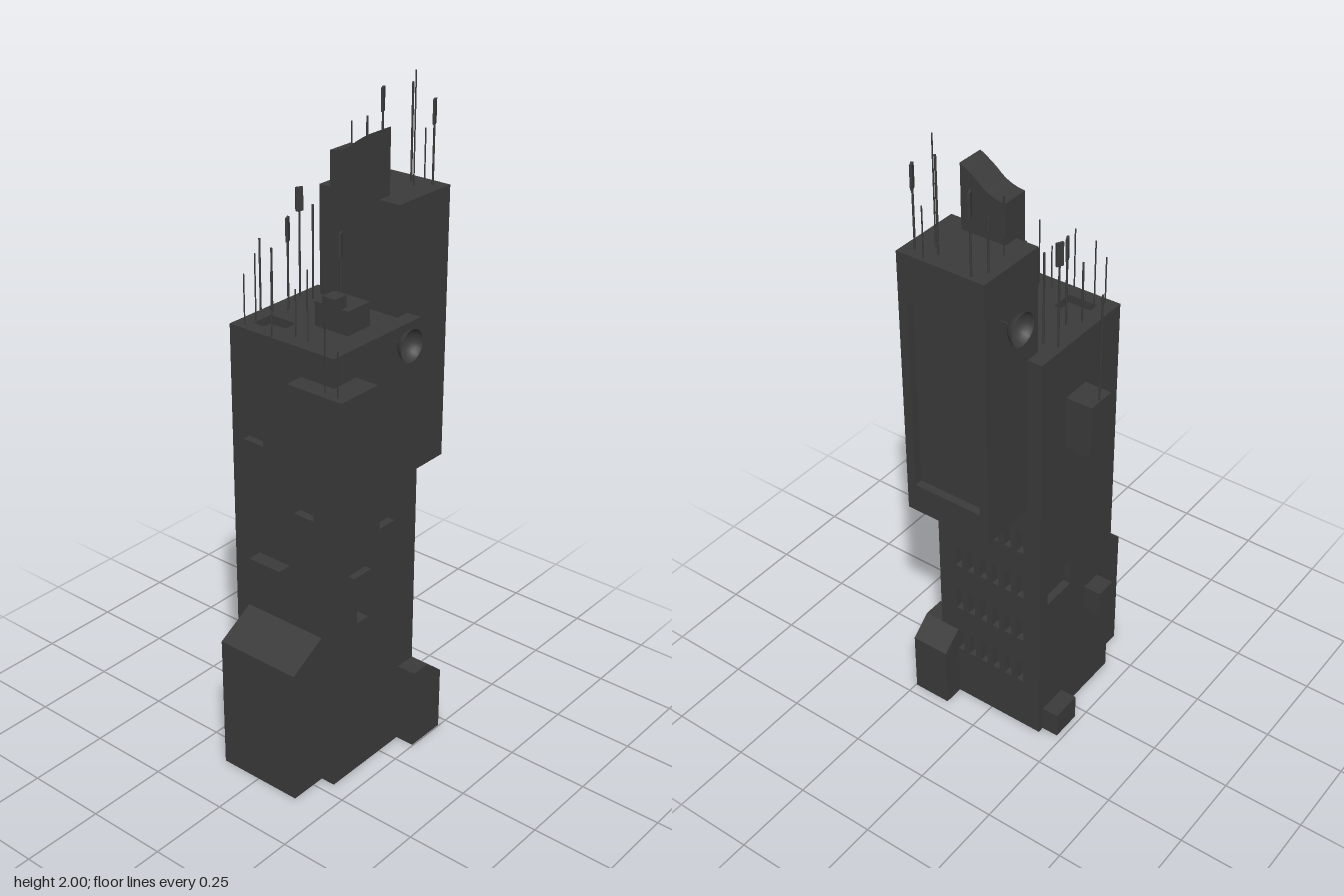
import * as THREE from 'three';

const mat = new THREE.MeshStandardMaterial({ color: 0x3a3a3a, flatShading: true });
const dishMat = new THREE.MeshStandardMaterial({ color: 0x3a3a3a, side: THREE.DoubleSide });
const D = 0.025; // wall thickness = recess depth

export function createModel() {
  const root = new THREE.Group();
  const add = (name, geo, parent = root, m = mat) => {
    const mesh = new THREE.Mesh(geo, m);
    mesh.name = name;
    parent.add(mesh);
    return mesh;
  };
  // Box given by its limits
  const box = (name, x0, x1, y0, y1, z0, z1) => {
    const mesh = add(name, new THREE.BoxGeometry(x1 - x0, y1 - y0, z1 - z0));
    mesh.position.set((x0 + x1) / 2, (y0 + y1) / 2, (z0 + z1) / 2);
    return mesh;
  };
  const rect = (T, [u0, u1, v0, v1]) => new T([[u0, v0], [u1, v0], [u1, v1], [u0, v1]].map(p => new THREE.Vector2(...p)));
  const extrude = (name, shape, depth) => add(name, new THREE.ExtrudeGeometry(shape, { depth, bevelEnabled: false }));
  // Rectangular slab with rectangular openings
  const slab = (name, limits, holes, depth = D) => {
    const s = rect(THREE.Shape, limits);
    s.holes = holes.map(h => rect(THREE.Path, h));
    return extrude(name, s, depth);
  };
  // Slab facing sideways: outline in (z, y), running from x1 towards -x
  const sideways = (mesh, x1) => {
    mesh.rotation.y = -Math.PI / 2;
    mesh.position.x = x1;
  };
  const profileX = (name, points, x0, x1) =>
    sideways(extrude(name, new THREE.Shape(points.map(p => new THREE.Vector2(...p))), x1 - x0), x1);

  // Main tower: core wrapped in walls with recesses
  const X0 = -0.179, X1 = 0.187, Z0 = -0.153, Z1 = 0.212, H = 1.365;
  box('towerCore', X0 + D, X1 - D, 0, H - D, Z0 + D, Z1 - D);
  slab('frontWall', [X0, X1, 0, H - D], [[-0.14, -0.066, 1.03, 1.12], [0.045, 0.114, 0.86, 0.945]])
    .position.z = Z1 - D;
  const windows = [];
  for (let r = 0; r < 4; r++) for (let c = 0; c < 6; c++) {
    const x = -0.108 + c * 0.0446, y = 0.22 + r * 0.17;
    windows.push([x - 0.012, x + 0.012, y - 0.038, y + 0.038]);
  }
  slab('backWall', [X0, X1, 0, H - D], windows).position.z = Z0;
  sideways(slab('leftWall', [Z0 + D, Z1 - D, 0, H - D],
    [[-0.055, 0.013, 0.775, 0.945], [0.088, 0.138, 0.533, 0.668]]), X1);
  sideways(slab('rightWall', [Z0 + D, Z1 - D, 0, H - D], [[-0.115, 0, 0.5, 0.595]]), X0 + D);
  const roof = slab('roof', [X0, X1, Z0, Z1], [[-0.133, -0.04, 0.098, 0.168]]);
  roof.rotation.x = Math.PI / 2;
  roof.position.y = H;

  // Raised window frame on the left wall
  sideways(slab('windowFrame', [0.076, 0.15, 0.517, 0.684], [[0.088, 0.138, 0.533, 0.668]], 0.022), 0.209);

  // Upper rear tower with a large recessed panel
  box('rearTower', -0.133, 0.142, 0.86, 1.684, -0.332 + D, -0.108);
  slab('rearPanelFrame', [-0.133, 0.142, 0.86, 1.684], [[-0.105, 0.114, 0.95, 1.54]]).position.z = -0.332;

  // Spire with a swept top
  const spire = new THREE.Shape();
  spire.moveTo(-0.064, 1.526);
  spire.lineTo(0.074, 1.526);
  spire.lineTo(0.074, 1.873);
  spire.quadraticCurveTo(0.035, 1.852, 0.01, 1.83);
  spire.quadraticCurveTo(-0.02, 1.805, -0.064, 1.802);
  extrude('spire', spire, 0.084).position.z = -0.154;

  // Sloped buttresses at the base
  profileX('frontButtress', [[0.2, 0], [0.332, 0], [0.332, 0.425], [0.2, 0.5]], -0.133, 0.142);
  profileX('cornerButtress', [[-0.086, 0], [-0.086, 0.26], [-0.153, 0.26], [-0.217, 0.205], [-0.217, 0]], 0.125, 0.247);

  // Blocks hung on the walls and standing on the roof
  box('cornerBlock', 0.074, 0.26, 1.03, 1.282, 0.122, 0.269);
  box('frontBox', -0.088, 0.026, 0.595, 0.685, 0.2, 0.256);
  box('rightUpperBlock', -0.262, -0.17, 1.03, 1.198, -0.04, 0.052);
  box('rightMiddleBlock', -0.235, -0.17, 0.345, 0.43, 0.076, 0.143);
  box('rightBaseBlock', -0.232, -0.17, 0, 0.085, -0.133, -0.035);
  box('roofHousing', 0.005, 0.12, H - 0.01, 1.435, -0.017, 0.075);
  box('roofVent', 0.052, 0.097, 1.4, 1.47, 0.053, 0.1);

  // Antennas: x, z, base, top, radius
  const rod = (x, z, y0, y1, r, name = 'antenna') => {
    add(name, new THREE.CylinderGeometry(r, r, y1 - y0, 6)).position.set(x, (y0 + y1) / 2, z);
  };
  const R = 1.68, B = 1.36;
  [
    [-0.107, -0.28, R, 1.84, 0.003], [0.045, -0.284, R, 1.96, 0.003], [0.07, -0.263, R, 2, 0.002],
    [0.065, -0.318, R, 1.83, 0.002], [-0.088, -0.19, R, 1.85, 0.002],
    [-0.12, -0.064, B, 1.64, 0.003], [-0.145, 0.078, B, 1.55, 0.003], [0.04, 0.077, B, 1.55, 0.003],
    [-0.144, 0.19, B, 1.51, 0.002], [-0.124, 0.167, 1.34, 1.565, 0.002], [0.017, 0.166, B, 1.5, 0.002],
    [0.06, 0.168, B, 1.565, 0.002], [-0.03, 0.208, B, 1.55, 0.002],
    [0.187, 0.248, 1.28, 1.49, 0.002], [0.23, 0.248, 1.28, 1.41, 0.002], [-0.256, 0.004, 1.19, 1.53, 0.003],
  ].forEach(a => rod(...a));

  // Masts topped by a flat panel: x, z, base, top, turn
  [
    [-0.083, -0.318, R, 1.917, 0.45], [0.108, -0.298, R, 1.922, 0.45], [-0.163, -0.058, B, 1.682, -0.45],
    [-0.118, 0.042, B, 1.633, 0.45], [0.067, 0.042, B, 1.633, 0.45],
  ].forEach(([x, z, y0, y1, turn]) => {
    rod(x, z, y0, y1 - 0.03, 0.003, 'mast');
    const p = add('mastPanel', new THREE.BoxGeometry(0.007, 0.068, 0.021));
    p.position.set(x, y1 - 0.034, z);
    p.rotation.y = turn;
  });

  // Dishes on the sides; s is the side they open to
  [[0.187, 1.33, -0.047, 1, 0.016], [-0.133, 1.547, -0.266, -1, 0.03]].forEach(([x, y, z, s, arm]) => {
    const g = new THREE.Group();
    g.name = 'dish';
    g.position.set(x, y, z);
    root.add(g);
    const bowl = add('bowl', new THREE.SphereGeometry(0.049, 18, 8, 0, Math.PI * 2, 0, 1.33), g, dishMat);
    bowl.rotation.z = s * Math.PI / 2;
    bowl.position.x = s * (arm + 0.049);
    const stem = add('dishArm', new THREE.CylinderGeometry(0.002, 0.002, arm + 0.012, 6), g);
    stem.rotation.z = Math.PI / 2;
    stem.position.x = s * arm / 2;
  });
  return root;
}
